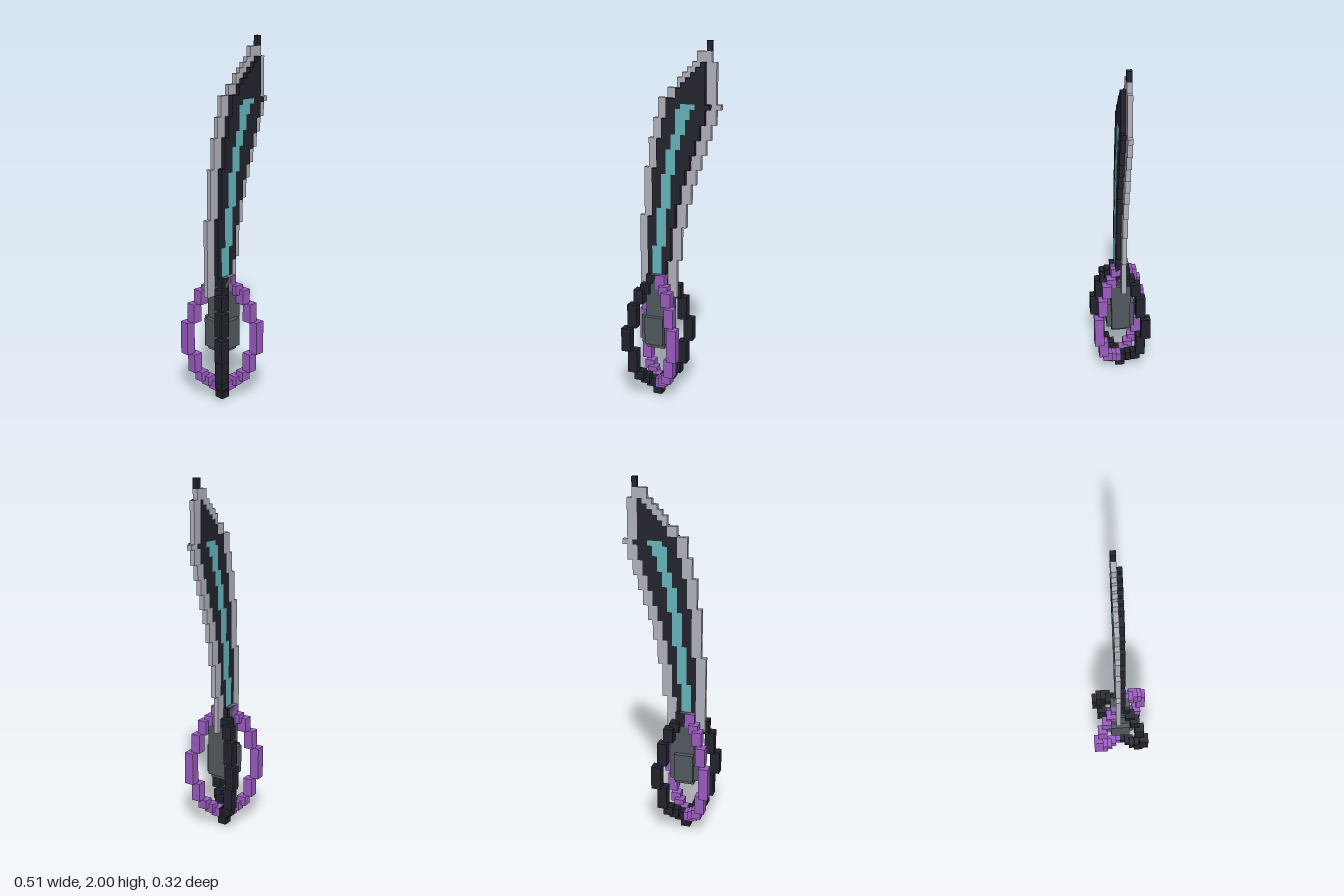
import * as THREE from 'three';
import { mergeGeometries } from 'three/addons/utils/BufferGeometryUtils.js';

const V = 2 / 74; // one voxel; the grid is 19 x 74 x 12

const mat = (name, color) => {
  const m = new THREE.MeshStandardMaterial({ color });
  m.name = name;
  return m;
};

// Box spanning voxel indices [x0,x1) [y0,y1) [z0,z1)
function block(x0, x1, y0, y1, z0, z1) {
  const g = new THREE.BoxGeometry((x1 - x0) * V, (y1 - y0) * V, (z1 - z0) * V);
  return g.translate(((x0 + x1) / 2 - 9.5) * V, ((y0 + y1) / 2) * V, ((z0 + z1) / 2 - 6) * V);
}

// Value of a stepped edge, given as [start row, column], at a row
const stepAt = (steps, row) => steps.filter(s => s[0] <= row).pop()[1];

// Stepped outlines of the blade
const EDGE_LEFT = [[22, 2], [39, 3], [49, 4], [55, 5], [59, 6], [63, 8], [65, 10], [67, 11], [68, 12], [69, 13], [70, 14]];
const EDGE_RIGHT = [[22, 10], [30, 11], [37, 12], [42, 13], [46, 14], [49, 15], [52, 16], [55, 17], [58, 18], [70, 17]];
const CORE_LEFT = [[22, 4], [39, 5], [49, 6], [55, 7], [59, 8], [63, 10], [65, 11], [66, 12], [67, 13], [68, 14], [69, 15]];
const INLAY_LEFT = [[27, 5], [33, 6], [41, 7], [48, 8], [53, 9], [56, 10], [61, 11]];
const INLAY_RIGHT = [[27, 7], [33, 8], [41, 9], [48, 10], [53, 11], [56, 12], [59, 13], [61, 14]];

// Half-loop of the guard rings: [offset from outer edge, first row, end row]
const ringSteps = bulge => [
  [4, 2, 4], [3, 3, 5], [2, 4, 6], [1, 6, 11 - bulge], [0, 11 - bulge, 16 + bulge],
  [1, 16 + bulge, 21], [2, 21, 24], [3, 23, 25], [4, 24, 27],
];

// Diagonal ring; dir = 1 runs from (-x,-z) to (+x,+z), dir = -1 crosses it
function ring(dir, bulge) {
  const parts = [];
  for (const [d, y0, y1] of ringSteps(bulge)) {
    const near = [d, d + 2], far = [10 - d, 12 - d];
    const [za, zb] = dir > 0 ? [near, far] : [far, near];
    parts.push(block(...near, y0, y1, ...za), block(...far, y0, y1, ...zb));
  }
  return parts;
}

export function createModel() {
  const root = new THREE.Group();
  root.name = 'sword';
  const steel = mat('pale steel', 0xb1b1bb);
  const black = mat('black', 0x22222c);
  const teal = mat('teal', 0x64b4bb);
  const purple = mat('purple', 0x9a5bc0);
  const slate = mat('slate', 0x51595e);
  const add = (name, parts, material) => {
    const mesh = new THREE.Mesh(mergeGeometries(parts), material);
    mesh.name = name;
    root.add(mesh);
  };

  // Blade: steel edge one voxel thick, core and inlay two voxels thick
  const edge = [], core = [], inlay = [];
  for (let y = 22; y < 72; y++) {
    const l = stepAt(EDGE_LEFT, y), r = stepAt(EDGE_RIGHT, y) + (y === 61 ? 1 : 0);
    if (y >= 70) {
      edge.push(block(l, r, y, y + 1, 5, 6));
      continue;
    }
    const cl = stepAt(CORE_LEFT, y), cr = y === 61 ? 17 : r - 2;
    if (y > 22) edge.push(block(l, cl, y, y + 1, 5, 6));
    edge.push(block(cr, r, y, y + 1, 5, 6));
    if (y >= 27 && y < 62) {
      const il = stepAt(INLAY_LEFT, y), ir = stepAt(INLAY_RIGHT, y);
      core.push(block(cl, il, y, y + 1, 5, 7), block(ir, cr, y, y + 1, 5, 7));
      inlay.push(block(il, ir, y, y + 1, 5, 7));
    } else {
      core.push(block(cl, cr, y, y + 1, 5, 7));
    }
  }
  add('bladeEdge', edge, steel);
  add('bladeCore', core, black);
  add('bladeInlay', inlay, teal);
  add('bladeTip', [block(16, 17, 72, 74, 5, 6)], black);

  // Grip: stepped column with a wider pommel
  add('grip', [
    block(4, 8, 11, 23, 4, 8),
    block(3, 9, 12, 18, 4, 8),
    block(4, 8, 12, 18, 3, 9),
    block(4, 9, 18, 23, 4, 8),
    block(4, 8, 23, 25, 4, 8),
    block(5, 7, 25, 27, 4, 8),
  ], slate);

  // Two crossing guard rings meeting in a black foot
  add('blackRing', [...ring(-1, 0), block(5, 7, 0, 2, 5, 7)], black);
  add('purpleRing', ring(1, 1), purple);
  return root;
}
